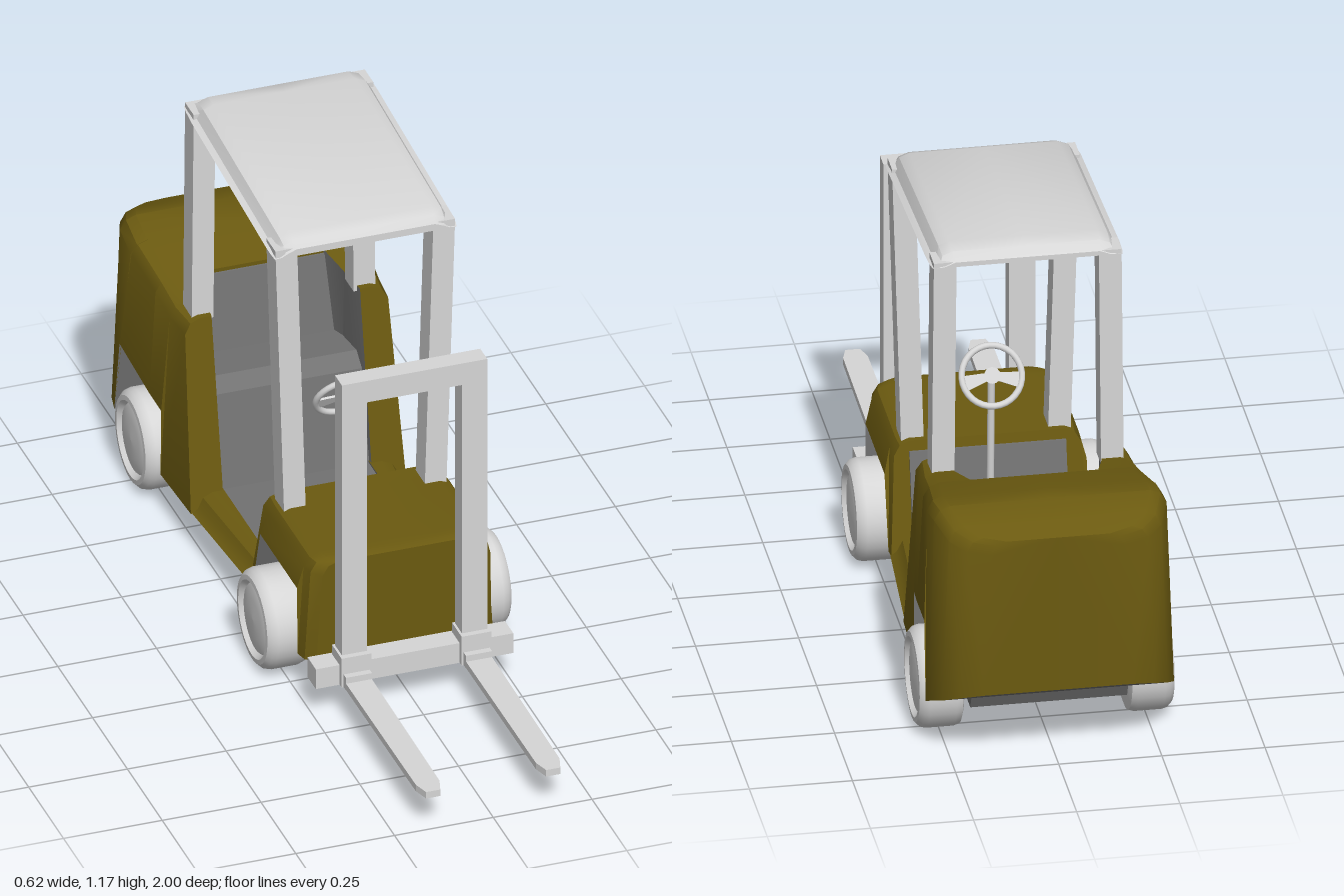
import * as THREE from 'three';
import { toCreasedNormals } from 'three/addons/utils/BufferGeometryUtils.js';

const mat = (name, color) => Object.assign(new THREE.MeshStandardMaterial({ color }), { name });

export function createModel() {
  const olive = mat('olive paint', 0x6b5a10);
  const light = mat('light grey', 0xd6d6d6);
  const dark = mat('dark grey', 0x727272);
  const model = new THREE.Group();
  model.name = 'forklift';

  const add = (name, geo, material, parent = model) => {
    const mesh = new THREE.Mesh(geo, material);
    mesh.name = name;
    parent.add(mesh);
    return mesh;
  };
  const box = (name, material, w, h, d, x, y, z) =>
    add(name, new THREE.BoxGeometry(w, h, d).translate(x, y, z), material);

  // Mirrored loft with rounded shoulders, running front to back.
  // Station: [z at top, z at y = 0.1, half width, top, bottom, inner x]
  function loft(name, stations, skinMat, underMat) {
    const rings = stations.map(([zt, zb, w, top, bot, xi = 0]) =>
      [[xi, top], [w - 0.055, top], [w - 0.03, top - 0.01], [w - 0.015, top - 0.035], [w, bot], [xi, bot]]
        .map(([x, y0]) => {
          const y = Math.max(y0, bot);
          return [x, y, zb + (zt - zb) * (y - 0.1) / (top - 0.1)];
        }));
    const skin = [], under = [];
    const tri = (out, a, b, c) => {
      out.push(...a, ...b, ...c);
      for (const p of [a, c, b]) out.push(-p[0], p[1], p[2]);
    };
    for (let i = 0; i < rings.length - 1; i++) {
      const r = rings[i], s = rings[i + 1];
      for (let j = 0; j < 6; j++) {
        const k = (j + 1) % 6;
        if (j === 5 && r[0][0] === 0) continue;
        const out = j < 4 ? skin : under;
        tri(out, r[j], r[k], s[k]);
        tri(out, r[j], s[k], s[j]);
      }
    }
    const first = rings[0], last = rings[rings.length - 1];
    for (let j = 1; j < 5; j++) {
      tri(skin, first[0], first[j + 1], first[j]);
      tri(skin, last[0], last[j], last[j + 1]);
    }
    [[skin, skinMat, name], [under, underMat, name + 'Underside']].forEach(([pos, m, n]) => {
      const g = new THREE.BufferGeometry();
      g.setAttribute('position', new THREE.Float32BufferAttribute(pos, 3));
      add(n, toCreasedNormals(g, 0.6), m);
    });
  }

  // Front hood with wheel arches
  loft('frontHood', [
    [0.34, 0.34, 0.215, 0.37, 0.1],
    [0.32, 0.32, 0.238, 0.375, 0.1],
    [0.29, 0.29, 0.245, 0.375, 0.1],
    [0.285, 0.285, 0.245, 0.375, 0.28],
    [0.05, -0.035, 0.245, 0.375, 0.28],
    [0.05, -0.035, 0.245, 0.375, 0.1],
    [0, -0.06, 0.242, 0.375, 0.1],
  ], olive, dark);
  // Door sills
  loft('sill', [
    [-0.04, -0.04, 0.243, 0.145, 0.1, 0.185],
    [-0.45, -0.45, 0.272, 0.145, 0.1, 0.185],
  ], olive, dark);
  // Body sides beside the seat
  loft('seatSide', [
    [-0.49, -0.4, 0.272, 0.585, 0.1, 0.188],
    [-0.57, -0.595, 0.28, 0.585, 0.1, 0.178],
    [-0.575, -0.6, 0.28, 0.586, 0.28, 0.178],
    [-0.66, -0.66, 0.285, 0.605, 0.29, 0.155],
  ], olive, dark);
  // Rear counterweight
  loft('rearBody', [
    [-0.66, -0.66, 0.285, 0.605, 0.29],
    [-0.79, -0.875, 0.298, 0.637, 0.33],
    [-0.79, -0.875, 0.3, 0.637, 0.13],
    [-0.88, -0.9, 0.297, 0.655, 0.145],
    [-0.95, -0.95, 0.273, 0.632, 0.17],
    [-0.985, -0.985, 0.235, 0.617, 0.19],
    [-1, -1, 0.18, 0.61, 0.2],
  ], olive, dark);

  // Chassis, dash, floor and seat as one side profile
  const profile = [
    [0.33, 0.098], [0.33, 0.35], [-0.012, 0.35], [-0.058, 0.14], [-0.42, 0.14], [-0.47, 0.375],
    [-0.5, 0.41], [-0.62, 0.4], [-0.655, 0.595], [-0.67, 0.595], [-0.8, 0.5], [-0.93, 0.25], [-0.86, 0.098],
  ].map(([z, y]) => new THREE.Vector2(-z, y));
  add('chassisAndSeat', new THREE.ExtrudeGeometry(new THREE.Shape(profile), { depth: 0.38, bevelEnabled: false })
    .translate(0, 0, -0.19).rotateY(Math.PI / 2), dark);

  // Canopy roof
  loft('canopy', [
    [0.085, 0.085, 0.23, 1.098, 1.08],
    [0.07, 0.07, 0.233, 1.115, 1.083],
    [0.045, 0.045, 0.235, 1.125, 1.086],
    [-0.5, -0.5, 0.235, 1.168, 1.128],
    [-0.545, -0.545, 0.233, 1.163, 1.131],
    [-0.57, -0.57, 0.23, 1.145, 1.133],
  ], light, light);

  // Canopy posts, leaning from a bottom to a top centre line
  function post(name, side, xBottom, xTop, y0, y1, z, depth) {
    const g = new THREE.BoxGeometry(0.055, y1 - y0, depth).translate(0, (y0 + y1) / 2, z);
    const p = g.attributes.position;
    for (let i = 0; i < p.count; i++) {
      const t = (p.getY(i) - y0) / (y1 - y0);
      p.setX(i, p.getX(i) + side * THREE.MathUtils.lerp(xBottom, xTop, t));
    }
    g.computeVertexNormals();
    add(name, g, light);
  }

  // Fork blade outline seen from above
  const blade = new THREE.Shape([
    [-0.033, 0.42], [0.033, 0.42], [0.03, 0.96], [0.018, 1], [-0.018, 1], [-0.03, 0.96],
  ].map(([x, z]) => new THREE.Vector2(x, -z)));

  // Tyre and hub, turned about the axle
  const tyreProfile = [
    [0.088, 0.042], [0.098, 0.055], [0.11, 0.054], [0.121, 0.043], [0.125, 0.03],
    [0.125, -0.035], [0.12, -0.05], [0.105, -0.055], [0, -0.055],
  ].reverse().map(([r, y]) => new THREE.Vector2(r, y));
  const tyre = toCreasedNormals(new THREE.LatheGeometry(tyreProfile, 32), 0.7);
  const hubProfile = [[0.09, 0.04], [0.084, 0.046], [0.05, 0.051], [0, 0.053]]
    .map(([r, y]) => new THREE.Vector2(r, y));
  const hub = new THREE.LatheGeometry(hubProfile, 32);

  for (const side of [1, -1]) {
    post('frontPost', side, 0.178, 0.2, 0.36, 1.1, 0.048, 0.066);
    post('rearPost', side, 0.205, 0.2, 0.57, 1.145, -0.537, 0.062);

    // Mast upright with its foot and fork
    box('mastUpright', light, 0.064, 0.78, 0.05, side * 0.152, 0.53, 0.41);
    box('mastFoot', light, 0.076, 0.08, 0.07, side * 0.152, 0.126, 0.415);
    add('fork', new THREE.ExtrudeGeometry(blade, { depth: 0.018, bevelEnabled: false })
      .rotateX(-Math.PI / 2).translate(side * 0.152, 0.087, 0), light);
    box('forkHeel', light, 0.066, 0.035, 0.03, side * 0.152, 0.104, 0.452);

    for (const [name, z] of [['frontWheel', 0.145], ['rearWheel', -0.73]]) {
      const wheel = new THREE.Group();
      wheel.name = name;
      add('tyre', tyre, light, wheel);
      add('hub', hub, light, wheel);
      wheel.position.set(side * 0.255, 0.125, z);
      wheel.rotation.z = -side * Math.PI / 2;
      model.add(wheel);
    }
  }
  box('mastCrossbar', light, 0.368, 0.06, 0.05, 0, 0.89, 0.41);
  box('forkCarriage', light, 0.5, 0.055, 0.06, 0, 0.1125, 0.405);

  // Steering column and wheel
  const column = new THREE.LineCurve3(new THREE.Vector3(0, 0.14, -0.04), new THREE.Vector3(0, 0.565, -0.06));
  add('steeringColumn', new THREE.TubeGeometry(column, 1, 0.009, 10), light);
  const steering = new THREE.Group();
  steering.name = 'steeringWheel';
  add('rim', new THREE.TorusGeometry(0.073, 0.008, 10, 32), light, steering);
  add('steeringHub', new THREE.CylinderGeometry(0.016, 0.02, 0.02, 16).rotateX(Math.PI / 2), light, steering);
  for (const side of [1, -1]) {
    const spoke = new THREE.Shape([[0, -0.008], [0.068, -0.035], [0.073, 0.004], [0, 0.008]]
      .map(([x, y]) => new THREE.Vector2(side * x, y)));
    add('spoke', new THREE.ExtrudeGeometry(spoke, { depth: 0.006, bevelEnabled: false })
      .translate(0, 0, -0.003), light, steering);
  }
  steering.position.set(0, 0.567, -0.066);
  steering.rotation.x = 0.52;
  model.add(steering);

  return model;
}
